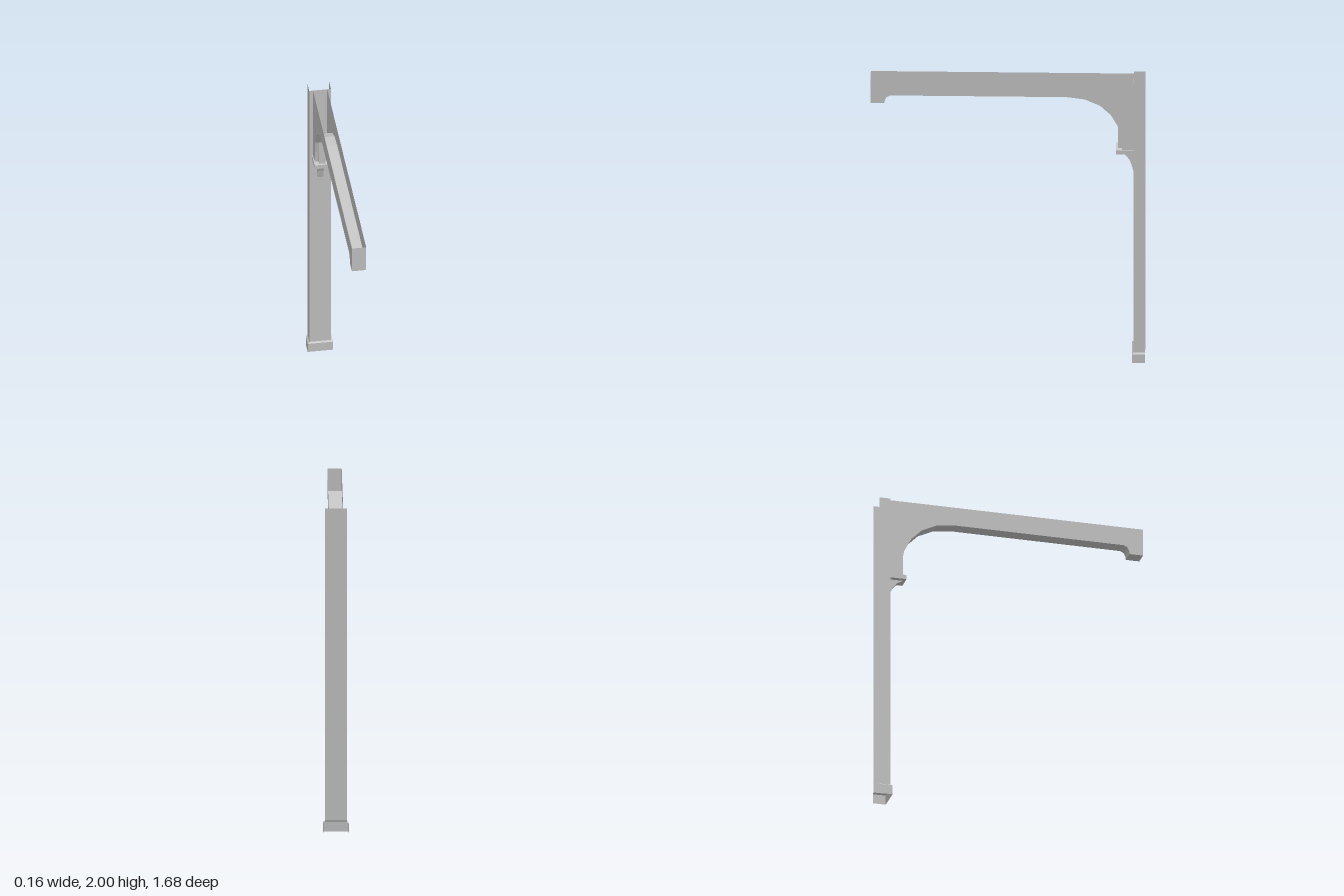
import * as THREE from 'three';

const material = new THREE.MeshStandardMaterial({ color: 0xcccccc, flatShading: true, side: THREE.DoubleSide });

// Sheet through rows of [x, y, z] points: rows run downward, columns run toward +x
function sheet(rows) {
  const pos = [];
  for (let i = 0; i < rows.length - 1; i++) {
    for (let j = 0; j < rows[i].length - 1; j++) {
      const a = rows[i][j], b = rows[i][j + 1], c = rows[i + 1][j + 1], d = rows[i + 1][j];
      pos.push(...a, ...d, ...c, ...a, ...c, ...b);
    }
  }
  const geo = new THREE.BufferGeometry();
  geo.setAttribute('position', new THREE.Float32BufferAttribute(pos, 3));
  geo.computeVertexNormals();
  return geo;
}

// Side profile given as [z, y] pairs
const sideShape = (pts) => new THREE.Shape(pts.map(([z, y]) => new THREE.Vector2(-z, y)));

// Solid made from a side profile, centred on x = 0
function slab(pts, width) {
  return new THREE.ExtrudeGeometry(sideShape(pts), { depth: width, bevelEnabled: false })
    .translate(0, 0, -width / 2).rotateY(Math.PI / 2);
}

export function createModel() {
  const group = new THREE.Group();
  const add = (name, geo) => {
    const mesh = new THREE.Mesh(geo, material);
    mesh.name = name;
    group.add(mesh);
    return mesh;
  };
  const back = -0.84, wall = -0.77;

  // Post and its wider foot: a channel open at the back
  const channel = (y, grow) => {
    const w = 0.067 + grow, z = wall + grow;
    return [[-w, y, back], [-w, y, z], [w, y, z], [w, y, back]];
  };
  add('post', sheet([channel(2, 0), channel(0.068, 0)]));
  add('postFoot', sheet([channel(0.068, 0), channel(0.061, 0.011), channel(0, 0.011)]));

  // Beam: a trough open at the top, arching down to the post
  const arch = [[-0.36, 1.88], [-0.47, 1.865], [-0.565, 1.82], [-0.63, 1.755], [-0.675, 1.67], [-0.692, 1.585], [-0.7, 1.505]];
  const underside = [[0.84, 2], [0.84, 1.825], [0.755, 1.825], [0.752, 1.848], [0.742, 1.868], [0.718, 1.88], ...arch];
  const half = 0.044;
  add('beamUnderside', sheet(underside.map(([z, y]) => [[-half, y, z], [half, y, z]])));
  const cheek = [...underside, [wall, 1.505], [wall, 2]];
  for (const [name, side] of [['beamLeftSide', 1], ['beamRightSide', -1]]) {
    const geo = new THREE.ShapeGeometry(sideShape(cheek)).rotateY(Math.PI / 2);
    if (side < 0) geo.rotateZ(Math.PI).scale(1, -1, 1).rotateZ(0);
    geo.translate(side * half, 0, 0);
    add(name, geo);
  }

  // Bracket: rib above the shelf, the shelf, and a curved support below
  add('bracketRib', slab([[-0.675, 1.67], [-0.675, 1.505], [-0.7, 1.505], [-0.692, 1.585]], 0.04));
  add('bracketShelf', new THREE.BoxGeometry(0.1, 0.028, 0.108)).position.set(0, 1.491, -0.716);
  add('bracketSupport', slab([[wall, 1.477], [-0.675, 1.477], [-0.715, 1.457],
    [-0.742, 1.425], [-0.757, 1.385], [wall, 1.33]], 0.04));

  return group;
}
